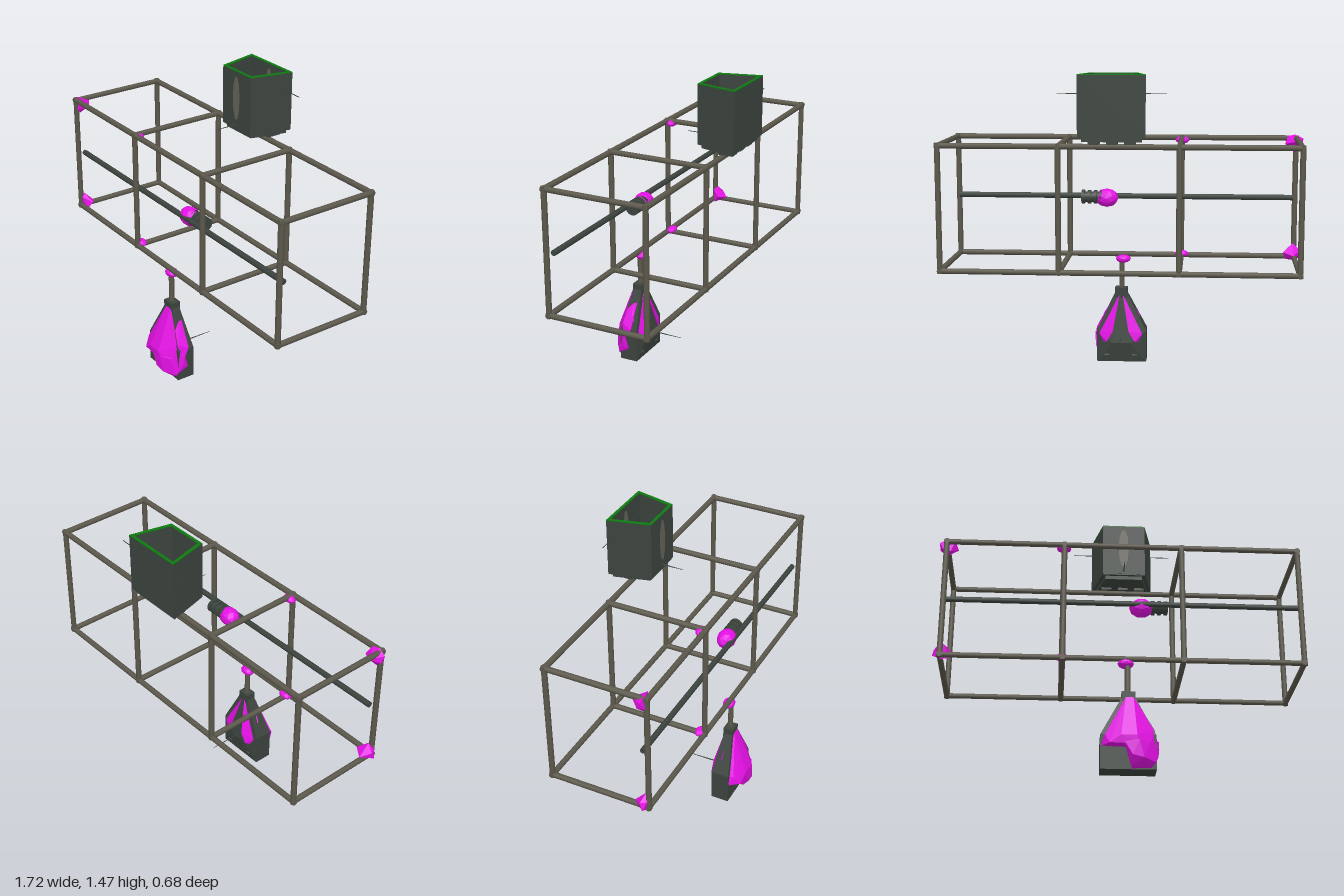
import * as THREE from 'three';
import { ConvexGeometry } from 'three/addons/geometries/ConvexGeometry.js';

const material = (name, color, extra = {}) => {
  const m = new THREE.MeshStandardMaterial({ color, ...extra });
  m.name = name;
  return m;
};

export function createModel() {
  const steel = material('weathered steel', 0x5c584c);
  const dark = material('dark iron', 0x3c443e);
  const worn = material('worn patch', 0x66645a);
  const magenta = material('magenta', 0xe411e4, { flatShading: true });
  const green = material('green rim', 0x0f7a12);
  const group = new THREE.Group();

  const add = (name, geometry, mat, x = 0, y = 0, z = 0) => {
    const mesh = new THREE.Mesh(geometry, mat);
    mesh.name = name;
    mesh.position.set(x, y, z);
    group.add(mesh);
    return mesh;
  };
  // Round bar between two points
  const bar = (name, a, b, r, mat, sides = 8, rEnd = r) => {
    const p = new THREE.Vector3(...a), q = new THREE.Vector3(...b);
    const d = q.clone().sub(p);
    const mesh = add(name, new THREE.CylinderGeometry(rEnd, r, d.length(), sides), mat);
    mesh.position.copy(p).add(q).multiplyScalar(0.5);
    mesh.quaternion.setFromUnitVectors(new THREE.Vector3(0, 1, 0), d.normalize());
    return mesh;
  };
  const hull = (name, points, mat) =>
    add(name, new ConvexGeometry(points.map(p => new THREE.Vector3(...p))), mat);
  const lump = (name, x, y, z, sx, sy, sz, detail = 1) =>
    add(name, new THREE.IcosahedronGeometry(1, detail), magenta, x, y, z).scale.set(sx, sy, sz);

  // Three-bay frame of bars
  const xs = [-0.72, -0.163, 0.395, 0.953], ys = [0.547, 1.135], zs = [-0.237, 0.25], r = 0.0135;
  for (const z of zs) for (const y of ys) bar('frameRail', [-0.733, y, z], [0.965, y, z], r, steel);
  for (const x of xs) {
    for (const z of zs) bar('framePost', [x, 0.535, z], [x, 1.147, z], r, steel);
    for (const y of ys) bar('frameCrossbar', [x, y, -0.248], [x, y, 0.262], r, steel);
  }

  // Middle pipe with a ribbed coupling
  bar('middlePipe', [-0.71, 0.845, 0.22], [0.945, 0.845, 0.22], 0.0135, dark);
  bar('coupling', [0.17, 0.845, 0.182], [0.33, 0.845, 0.182], 0.026, dark, 12);
  for (let i = 0; i < 5; i++) {
    const x = 0.2 + i * 0.03;
    bar('couplingRib', [x - 0.008, 0.845, 0.182], [x + 0.008, 0.845, 0.182], 0.034, dark, 12);
  }
  lump('couplingLump', 0.205, 0.84, 0.187, 0.058, 0.046, 0.046);

  // Growths on the frame joints
  for (const [y, s] of [[1.135, -1], [0.547, 1]]) {
    hull('cornerGrowth', [
      [-0.715, y - s * 0.018, 0.242], [-0.755, y, 0.235], [-0.68, y - s * 0.012, 0.235],
      [-0.665, y + s * 0.025, 0.21], [-0.75, y + s * 0.035, 0.22], [-0.715, y + s * 0.012, 0.178],
      [-0.715, y + s * 0.068, 0.232], [-0.7, y + s * 0.05, 0.25], [-0.735, y + s * 0.04, 0.25],
    ], magenta);
    lump('jointGrowth', -0.165, y + s * 0.01, 0.228, 0.035, 0.018, 0.024);
  }

  // Open hopper with tapered plan
  const trapezoid = inset => [
    [-0.013 + inset * 1.25, -0.322 + inset], [0.296 - inset * 1.25, -0.322 + inset],
    [0.25 - inset, -0.12 - inset], [0.036 + inset, -0.12 - inset],
  ].map(p => new THREE.Vector2(...p));
  const slab = (name, outer, hole, top, height, mat) => {
    const shape = new THREE.Shape(outer);
    if (hole) shape.holes.push(new THREE.Path(hole));
    const g = new THREE.ExtrudeGeometry(shape, { depth: height, bevelEnabled: false });
    g.rotateX(Math.PI / 2);
    return add(name, g, mat, 0, top, 0);
  };
  slab('hopperWall', trapezoid(0), trapezoid(0.012), 1.463, 0.275, dark);
  slab('hopperFloor', trapezoid(0.001), null, 1.2, 0.018, dark);
  slab('hopperRim', trapezoid(0), trapezoid(0.014), 1.467, 0.004, green);
  slab('hopperBase', trapezoid(0.014), null, 1.183, 0.02, dark);
  for (const x of [0.06, 0.143, 0.226])
    add('hopperFoot', new THREE.BoxGeometry(0.05, 0.014, 0.07), dark, x, 1.157, -0.26);
  // Worn ovals on the front face and the inner back face
  for (const z of [-0.118, -0.307]) {
    const patch = add('wornPatch', new THREE.CircleGeometry(1, 10), worn, 0.142, 1.335, z);
    patch.scale.set(0.026, 0.11, 1);
  }

  // Thin spikes
  bar('hopperSpike', [-0.105, 1.38, -0.29], [0.39, 1.38, -0.29], 0.002, dark, 5);
  bar('hopperNozzle', [0.142, 1.204, -0.13], [0.142, 1.204, -0.015], 0.004, dark, 5, 0.001);
  bar('flaskSpike', [0.137, 0.122, 0.21], [0.137, 0.12, 0.025], 0.004, dark, 5, 0.001);

  // Hanging stem, neck and flask
  bar('stem', [0.135, 0.35, 0.25], [0.135, 0.54, 0.25], 0.0135, steel);
  lump('stemGrowth', 0.127, 0.525, 0.243, 0.038, 0.022, 0.03);
  add('neck', new THREE.BoxGeometry(0.062, 0.05, 0.05), dark, 0.137, 0.352, 0.25);
  hull('flask', [
    ...[0.01, 0.258].flatMap(x => [0.21, 0.3].flatMap(z => [[x, 0, z], [x, 0.16, z]])),
    ...[0.108, 0.168].flatMap(x => [[x, 0.35, 0.23], [x, 0.35, 0.272]]),
    [0.09, 0.1, 0.19], [0.18, 0.1, 0.19],
  ], dark);

  // Magenta crust over the front and right of the flask
  hull('frontCrust', [
    [0.122, 0.348, 0.235], [0.165, 0.348, 0.235], [0.125, 0.348, 0.278], [0.16, 0.348, 0.278],
    [0.018, 0.155, 0.25], [0.015, 0.105, 0.305], [0.03, 0.15, 0.32], [0.05, 0.105, 0.35],
    [0.1, 0.14, 0.356], [0.17, 0.14, 0.356], [0.18, 0.1, 0.352], [0.25, 0.19, 0.29],
    [0.262, 0.17, 0.24], [0.272, 0.1, 0.28], [0.23, 0.1, 0.33],
  ], magenta);
  hull('lowerCrust', [
    [0.11, 0.12, 0.352], [0.18, 0.12, 0.355], [0.15, 0.05, 0.354], [0.15, 0.01, 0.325],
    [0.15, 0.002, 0.29], [0.2, 0.04, 0.35], [0.235, 0.008, 0.3], [0.255, 0.03, 0.31],
    [0.27, 0.08, 0.28], [0.272, 0.14, 0.27], [0.268, 0.07, 0.25], [0.23, 0.12, 0.33],
  ], magenta);
  // Pair of lobes on the back
  for (const s of [-1, 1]) {
    const at = (dx, y, z) => [0.137 + s * dx, y, z];
    hull('backLobe', [
      at(0.008, 0.34, 0.225), at(0.028, 0.34, 0.25), at(0.025, 0.25, 0.205), at(0.09, 0.24, 0.25),
      at(0.04, 0.16, 0.18), at(0.07, 0.11, 0.182), at(0.115, 0.15, 0.21), at(0.1, 0.1, 0.215),
    ], magenta);
    add('flaskPatch', new THREE.BoxGeometry(0.025, 0.025, 0.004), worn, 0.137 + s * 0.07, 0.045, 0.204);
  }
  return group;
}
